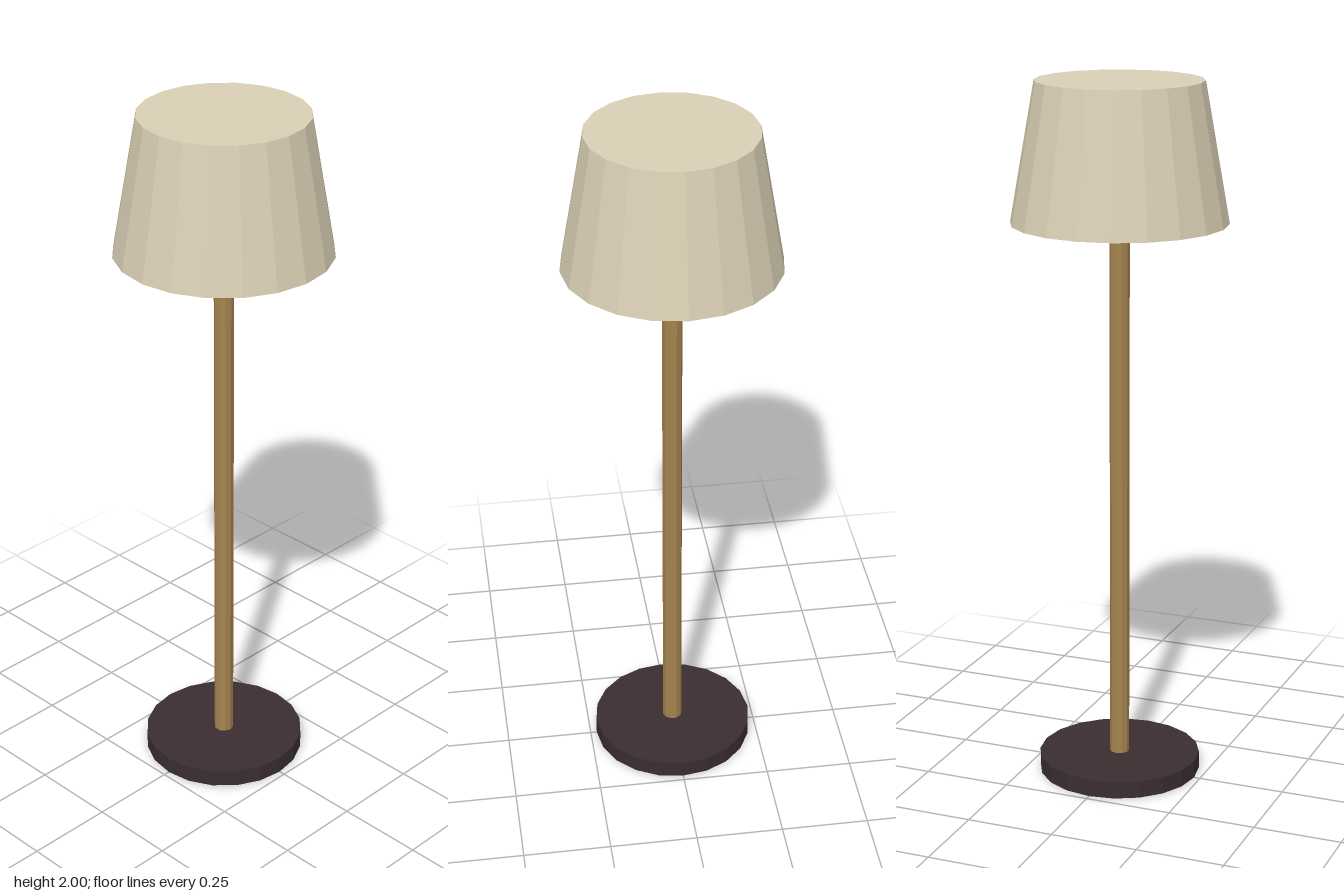
import * as THREE from 'three';

const material = (name, color) => {
  const m = new THREE.MeshStandardMaterial({ color, flatShading: true });
  m.name = name;
  return m;
};

export function createModel() {
  const lamp = new THREE.Group();
  lamp.name = 'floorLamp';

  // Upright faceted cylinder or cone section spanning y0 to y1
  const addRound = (name, topRadius, bottomRadius, y0, y1, sides, mat) => {
    const geometry = new THREE.CylinderGeometry(topRadius, bottomRadius, y1 - y0, sides);
    const mesh = new THREE.Mesh(geometry, mat);
    mesh.name = name;
    mesh.position.y = (y0 + y1) / 2;
    lamp.add(mesh);
  };

  // Weighted disc, slim stem and closed tapered shade
  addRound('base', 0.232, 0.232, 0, 0.05, 20, material('dark brown', 0x3a2e30));
  addRound('pole', 0.028, 0.028, 0.05, 1.62, 10, material('aged brass', 0xa68350));
  addRound('shade', 0.233, 0.302, 1.61, 2, 20, material('cream fabric', 0xdbd0b6));

  return lamp;
}
